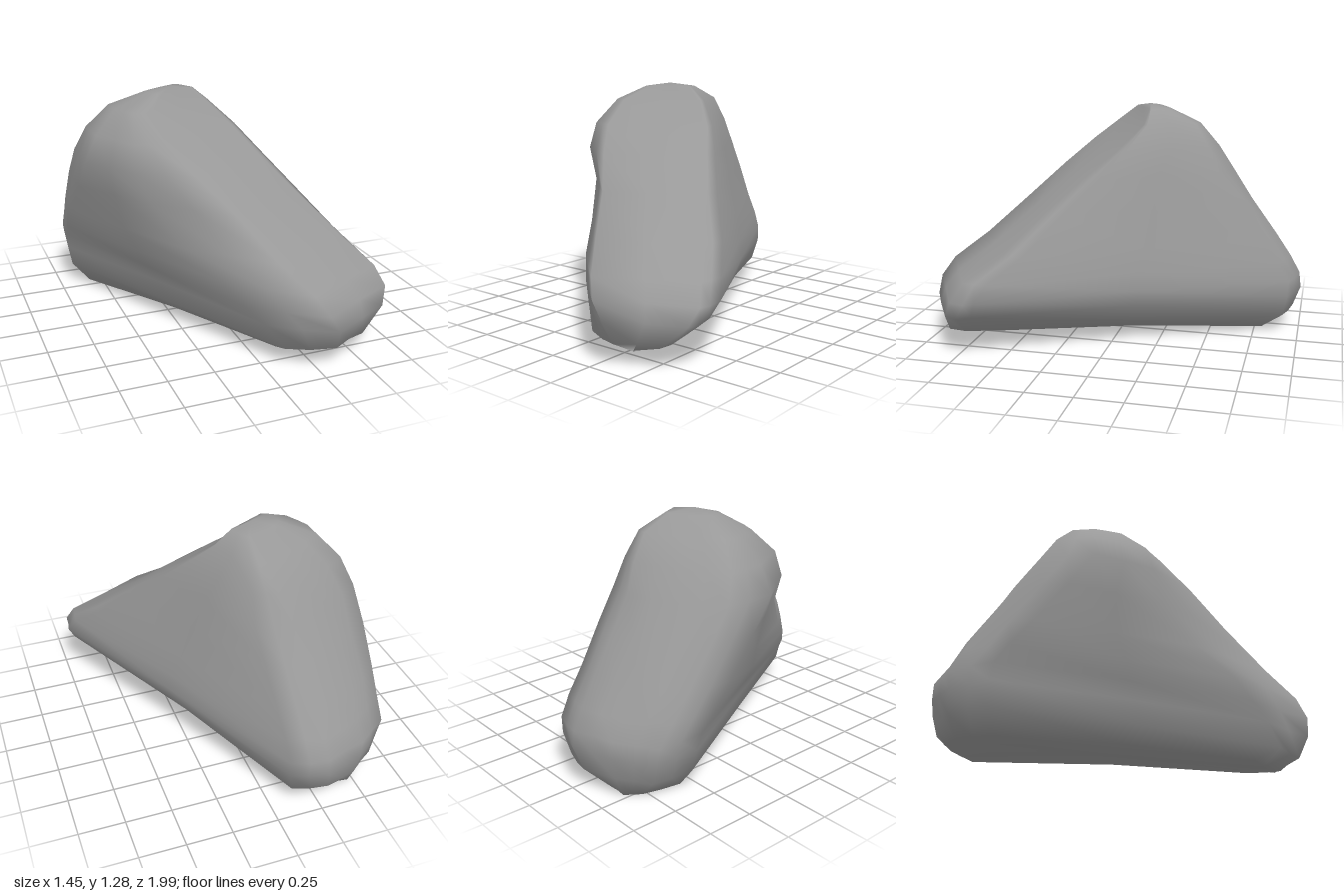
import * as THREE from 'three';

// Horizontal sections of the boulder, in a frame turned along its length:
// height, front end, back end, right side (front, back), left side (front, back)
const LEVELS = [
  [0.00, 0.86, -0.93, 0.00, 0.21, -0.22, -0.24],
  [0.11, 0.99, -0.99, 0.17, 0.33, -0.30, -0.32],
  [0.23, 1.03, -1.01, 0.31, 0.37, -0.34, -0.35],
  [0.32, 1.00, -1.01, 0.36, 0.37, -0.39, -0.37],
  [0.42, 0.93, -0.95, 0.355, 0.35, -0.42, -0.41],
  [0.55, 0.72, -0.87, 0.33, 0.32, -0.45, -0.46],
  [0.75, 0.47, -0.74, 0.27, 0.275, -0.48, -0.52],
  [0.92, 0.25, -0.63, 0.23, 0.235, -0.53, -0.57],
  [1.06, 0.06, -0.54, 0.19, 0.195, -0.50, -0.51],
  [1.19, -0.10, -0.43, 0.12, 0.14, -0.40, -0.39],
  [1.265, -0.15, -0.28, 0.04, 0.04, -0.23, -0.23],
];

// Nine chamfered corners of one section, clockwise from above
function corners([y, front, back, rightF, rightB, leftF, leftB]) {
  const k = Math.min(1, (front - back) / 0.9);
  const slant = Math.max(0.2, 0.5 - 1.5 * (y - 0.55) ** 2);
  return [
    [front, rightF - 0.08 * k],
    [front, leftF + 0.16 * k],
    [front - slant * k, leftF],
    [back + (0.15 + 0.12 * y) * k, leftB],
    [back, leftB + 0.14 * k],
    [back - 0.04 * k, (leftB + rightB) / 2],
    [back, rightB - 0.14 * k],
    [back + 0.14 * k, rightB],
    [front - (0.15 - 0.1 * y) * k, rightF],
  ];
}

function boulderGeometry() {
  const positions = [];
  const index = [];
  const N = 18;
  const place = (u, v, y) => positions.push(0.47 * u + 0.88 * v, y, 0.88 * u - 0.47 * v);

  LEVELS.forEach((level, row) => {
    const ring = corners(level);
    ring.forEach(([u, v], i) => {
      const [nu, nv] = ring[(i + 1) % ring.length];
      [[u, v], [(u + nu) / 2, (v + nv) / 2]].forEach(([pu, pv], half) => {
        // gentle chipped unevenness; the underside arches up towards the front
        const chip = 1 + 0.006 * Math.sin(row * 2.3 + i * 1.7 + half * 2);
        const arch = row === 0 ? 0.04 * THREE.MathUtils.smoothstep(pu, -0.9, 0.1) : 0;
        const ripple = row > 0 && row < 4 ? 0.01 * Math.sin(i * 2.6 + half * 1.9) : 0;
        place(pu * chip, pv * chip, level[0] + arch + ripple);
      });
    });
  });

  // Walls between neighbouring sections
  for (let r = 0; r < LEVELS.length - 1; r++) {
    for (let i = 0; i < N; i++) {
      const a = r * N + i, b = r * N + (i + 1) % N;
      index.push(a, a + N, b + N, a, b + N, b);
    }
  }

  // Underside and crown
  const bottom = positions.length / 3;
  place(-0.1, -0.04, 0.04);
  place(-0.19, -0.09, 1.285);
  const last = (LEVELS.length - 1) * N;
  for (let i = 0; i < N; i++) {
    const j = (i + 1) % N;
    index.push(bottom, i, j, bottom + 1, last + j, last + i);
  }

  const geometry = new THREE.BufferGeometry();
  geometry.setAttribute('position', new THREE.Float32BufferAttribute(positions, 3));
  geometry.setIndex(index);
  geometry.computeVertexNormals();
  return geometry;
}

export function createModel() {
  const group = new THREE.Group();
  group.name = 'rock';
  const boulder = new THREE.Mesh(
    boulderGeometry(),
    new THREE.MeshStandardMaterial({ color: 0x999999 })
  );
  boulder.name = 'boulder';
  group.add(boulder);
  return group;
}
